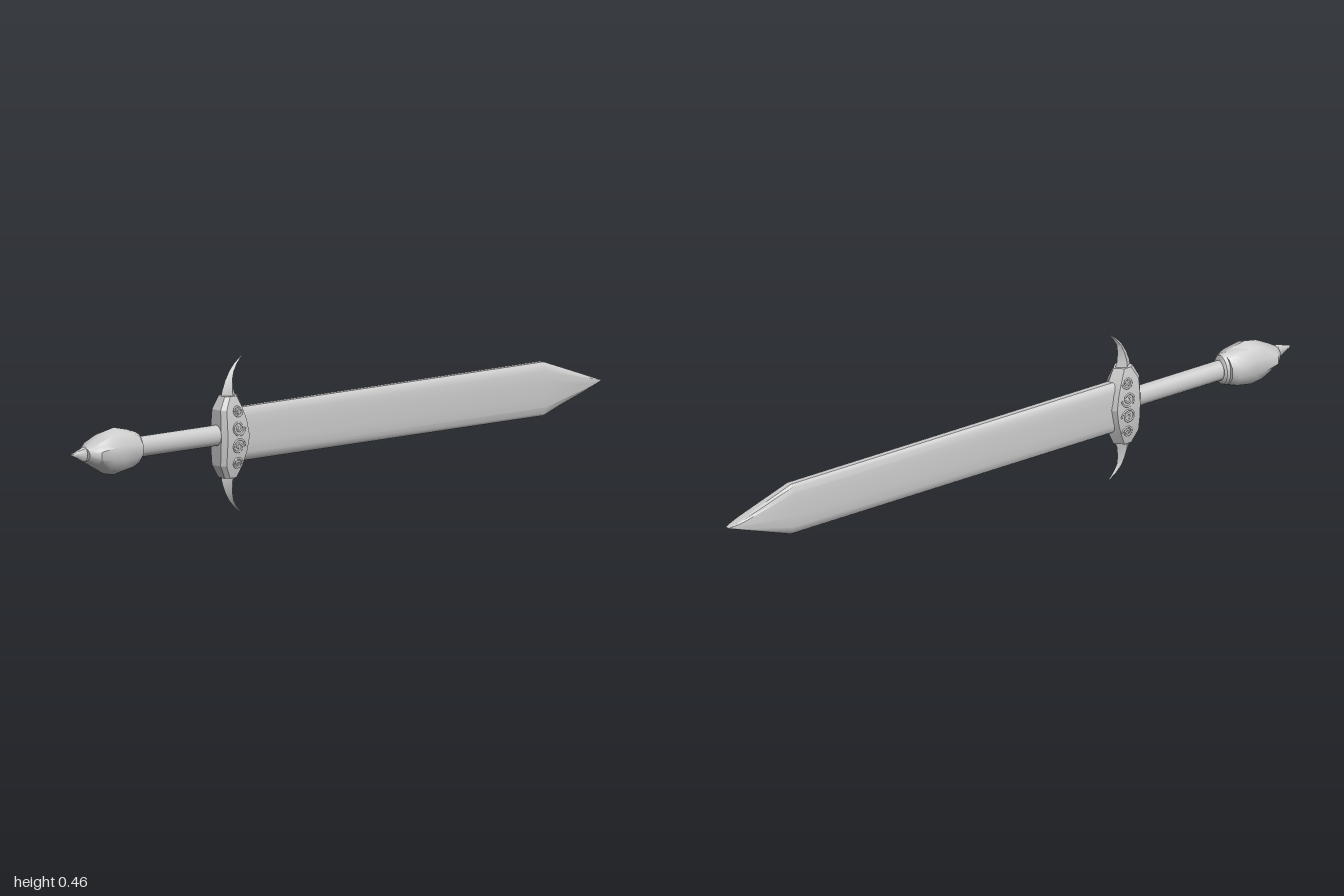
import * as THREE from 'three';
import { toCreasedNormals } from 'three/addons/utils/BufferGeometryUtils.js';

const material = new THREE.MeshStandardMaterial({ color: 0xcccccc });

// Skin closed cross-sections (arrays of Vector3) in order and cap both ends.
function loft(sections, crease) {
  const out = [];
  const tri = (...pts) => pts.forEach((p) => out.push(p.x, p.y, p.z));
  const n = sections[0].length;
  for (let i = 0; i < sections.length - 1; i++) {
    for (let j = 0; j < n; j++) {
      const k = (j + 1) % n;
      const a = sections[i][j], b = sections[i][k];
      const c = sections[i + 1][k], d = sections[i + 1][j];
      tri(a, b, c);
      tri(a, c, d);
    }
  }
  const first = sections[0], last = sections[sections.length - 1];
  for (let j = 1; j < n - 1; j++) {
    tri(first[0], first[j + 1], first[j]);
    tri(last[0], last[j], last[j + 1]);
  }
  const geometry = new THREE.BufferGeometry();
  geometry.setAttribute('position', new THREE.Float32BufferAttribute(out, 3));
  return toCreasedNormals(geometry, crease);
}

// Elliptical rings along x, each row: x, centre y, half height, half depth.
const ovalLoft = (rows, sides, crease) => loft(rows.map(([x, cy, ry, rz]) =>
  Array.from({ length: sides }, (_, j) => {
    const a = (j / sides) * Math.PI * 2;
    return new THREE.Vector3(x, cy + ry * Math.cos(a), rz * Math.sin(a));
  })), crease);

export function createModel() {
  const model = new THREE.Group();
  const add = (name, geometry, parent = model) => {
    const mesh = new THREE.Mesh(geometry, material);
    mesh.name = name;
    parent.add(mesh);
    return mesh;
  };

  // Blade: flat faces with rounded edges, narrowing to a point
  const quarter = [[0.077, 0.008], [0.07, 0.015], [0.052, 0.019], [0.02, 0.02]];
  const half = [...quarter, ...quarter.map(([y, z]) => [-y, z]).reverse()];
  const outline = [...half, ...half.map(([y, z]) => [-y, -z])];
  const bladeRows = [[-0.4, 1, 1], [0.78, 1, 1], [0.95, 0.23, 0.95], [0.98, 0.09, 0.7], [1, 0.01, 0.3]];
  const blade = add('blade', loft(bladeRows.map(([x, sy, sz]) =>
    outline.map(([y, z]) => new THREE.Vector3(x, 0.233 + y * sy, z * sz))), 0.6));
  blade.position.z = -0.003;

  // Grip
  add('grip', ovalLoft([[-0.79, 0.238, 0.03, 0.023], [-0.4, 0.238, 0.03, 0.023]], 16, 0.7));

  // Pommel with collar and end spike
  const pommel = new THREE.Group();
  pommel.name = 'pommel';
  model.add(pommel);
  add('collar', ovalLoft([
    [-0.79, 0.238, 0.052, 0.037], [-0.77, 0.238, 0.05, 0.036],
    [-0.755, 0.238, 0.044, 0.032], [-0.75, 0.238, 0.032, 0.026],
  ], 14, 0.6), pommel);
  add('pommelBulb', ovalLoft([
    [-0.95, 0.239, 0.02, 0.024], [-0.925, 0.238, 0.036, 0.05],
    [-0.88, 0.237, 0.06, 0.053], [-0.84, 0.237, 0.068, 0.053],
    [-0.79, 0.237, 0.057, 0.053], [-0.765, 0.238, 0.047, 0.045],
  ], 10, 0.7), pommel);
  add('pommelSpike', ovalLoft([
    [-1, 0.244, 0.003, 0.003], [-0.98, 0.242, 0.011, 0.008],
    [-0.955, 0.24, 0.022, 0.014], [-0.935, 0.239, 0.02, 0.014],
  ], 10, 0.6), pommel);

  // Guard body: faceted block, rows are distance from centre, left x, right x, half depth
  const guard = new THREE.Group();
  guard.name = 'guard';
  guard.position.y = 0.231;
  model.add(guard);
  const bodyRows = [
    [0, -0.453, -0.337, 0.038], [0.045, -0.453, -0.345, 0.035],
    [0.08, -0.452, -0.357, 0.031], [0.117, -0.432, -0.374, 0.023],
  ];
  const bodyRing = ([t, l, r, w], s) => [
    [l + 0.012, w], [r - 0.022, w], [r, 0], [r - 0.022, -w],
    [l + 0.012, -w], [l, -0.6 * w], [l, 0.6 * w],
  ].map(([x, z]) => new THREE.Vector3(x, t * s, z));
  add('guardBody', loft([
    ...bodyRows.slice(1).reverse().map((row) => bodyRing(row, -1)),
    ...bodyRows.map((row) => bodyRing(row, 1)),
  ], 0.2), guard);

  // Curved horns: diamond section, hooking toward the blade
  const hornRows = [
    [0.1, -0.435, -0.374, 0.022], [0.13, -0.431, -0.386, 0.0195],
    [0.16, -0.419, -0.389, 0.014], [0.185, -0.404, -0.386, 0.01],
    [0.205, -0.386, -0.374, 0.006], [0.228, -0.356, -0.354, 0.001],
  ];
  for (const s of [1, -1]) {
    const rings = hornRows.map(([t, l, r, w]) => {
      const m = (l + r) / 2;
      return [[m, w], [r, 0], [m, -w], [l, 0]].map(([x, z]) => new THREE.Vector3(x, t * s, z));
    });
    add(s > 0 ? 'upperHorn' : 'lowerHorn', loft(s > 0 ? rings : rings.reverse(), 0.3), guard);
  }

  // Raised scrolls following the front and back faces
  const faceDepth = (y) => {
    const t = Math.abs(y);
    const i = t < 0.045 ? 0 : t < 0.08 ? 1 : 2;
    const [a, b] = [bodyRows[i], bodyRows[i + 1]];
    return THREE.MathUtils.mapLinear(t, a[0], b[0], a[3], b[3]);
  };
  for (const face of [1, -1]) {
    for (const s of [1, -1]) {
      for (const [cy, size] of [[0.027, 0.024], [0.076, 0.018]]) {
        const points = Array.from({ length: 25 }, (_, i) => {
          const u = i / 24;
          const a = u * Math.PI * 3.5 + Math.PI / 2;
          const r = size * (0.12 + 0.88 * u);
          const y = s * (cy + r * Math.sin(a));
          return new THREE.Vector3(-0.4 + r * Math.cos(a), y, face * faceDepth(y));
        });
        add('scroll', new THREE.TubeGeometry(new THREE.CatmullRomCurve3(points), 48, 0.003, 6), guard);
      }
    }
  }
  return model;
}
